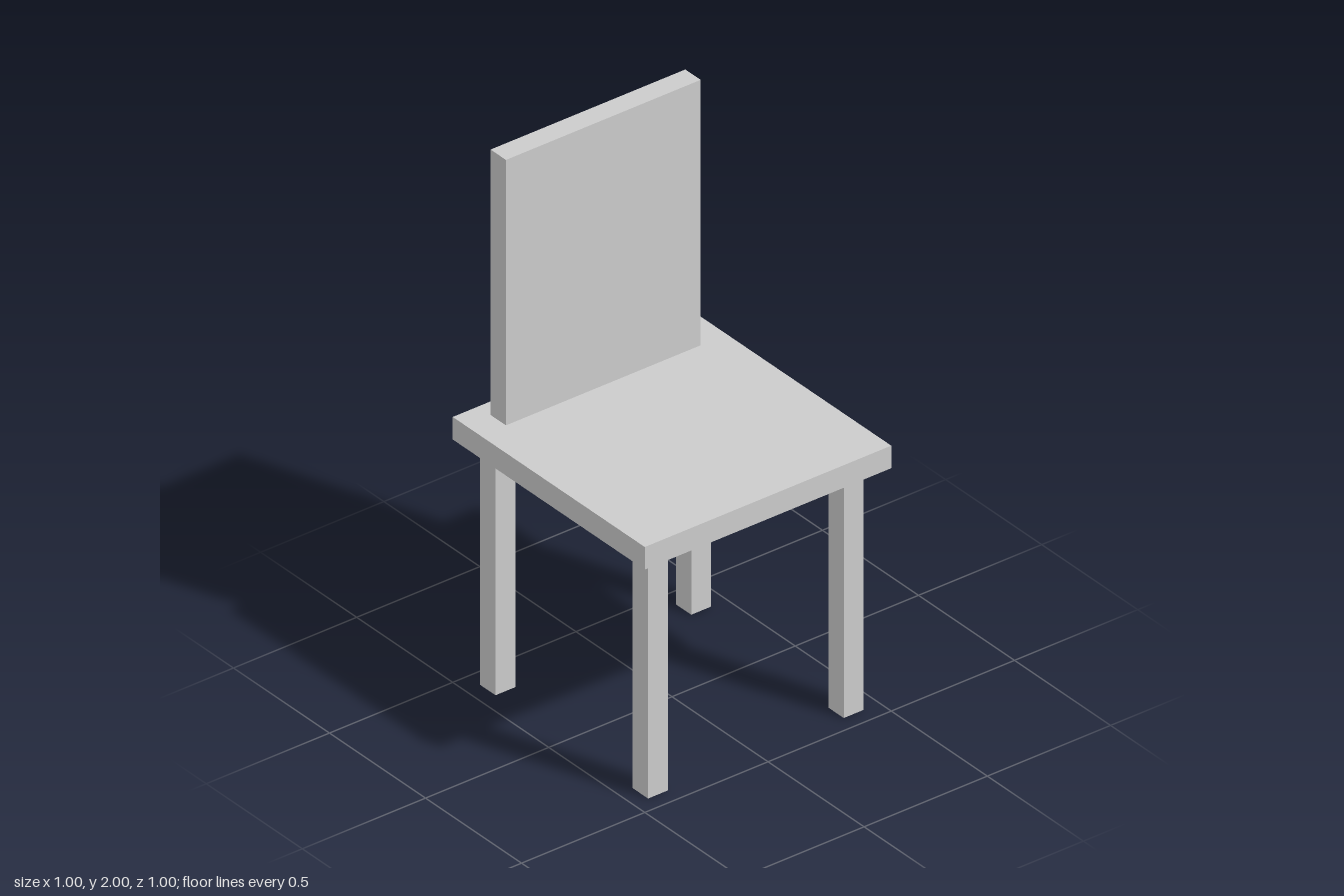
import * as THREE from 'three';

const material = new THREE.MeshStandardMaterial({ color: 0xcccccc, flatShading: true });

// Box given by its size and the centre of its underside
function addBox(group, name, [w, h, d], [x, y, z]) {
  const mesh = new THREE.Mesh(new THREE.BoxGeometry(w, h, d), material);
  mesh.name = name;
  mesh.position.set(x, y + h / 2, z);
  group.add(mesh);
}

export function createModel() {
  const chair = new THREE.Group();
  chair.name = 'chair';

  const legHeight = 0.915;
  const seatTop = 1;

  // Seat slab and upright back panel
  addBox(chair, 'seat', [1, seatTop - legHeight, 1], [0, legHeight, 0]);
  addBox(chair, 'backrest', [0.79, 2 - seatTop, 0.08], [-0.002, seatTop, -0.395]);

  // Four square legs, set slightly toward the right and the front
  for (const [side, x] of [['Left', 0.394], ['Right', -0.4]]) {
    for (const [end, z] of [['front', 0.4], ['back', -0.394]]) {
      addBox(chair, `${end}${side}Leg`, [0.08, legHeight, 0.08], [x, 0, z]);
    }
  }

  return chair;
}
